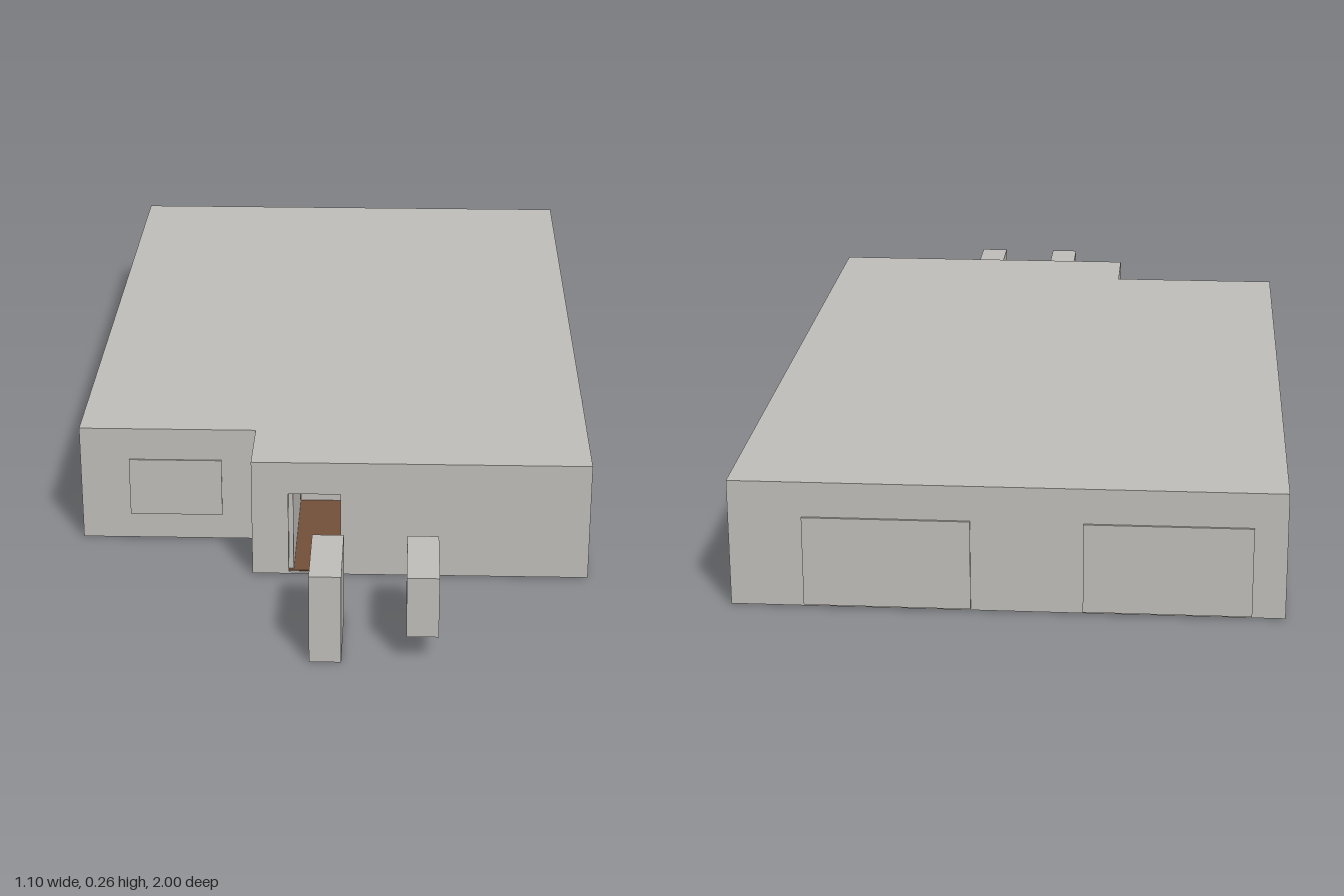
import * as THREE from 'three';

export function createModel() {
  const model = new THREE.Group();
  model.name = 'house';
  const plaster = new THREE.MeshStandardMaterial({ color: 0xc0beba });
  plaster.name = 'plaster grey';
  const wood = new THREE.MeshStandardMaterial({ color: 0x74503a });
  wood.name = 'wood floor';
  const warmWood = new THREE.MeshStandardMaterial({ color: 0x8b4513 });
  warmWood.name = 'warm wood';

  // Box given by its limits on each axis
  function box(name, x0, x1, y0, y1, z0, z1, material = plaster) {
    const mesh = new THREE.Mesh(new THREE.BoxGeometry(x1 - x0, y1 - y0, z1 - z0), material);
    mesh.position.set((x0 + x1) / 2, (y0 + y1) / 2, (z0 + z1) / 2);
    mesh.name = name;
    model.add(mesh);
    return mesh;
  }

  // L-shaped footprint, used for the base and the roof
  const W = 0.545, BACK = -0.995, FRONT = 0.635, NOTCH_X = -0.165, NOTCH_Z = 0.475, TOP = 0.262;
  const outline = [[-W, BACK], [-W, NOTCH_Z], [NOTCH_X, NOTCH_Z], [NOTCH_X, FRONT], [W, FRONT], [W, BACK]];
  function slab(name, y, depth) {
    const shape = new THREE.Shape(outline.map(([x, z]) => new THREE.Vector2(x, -z)));
    const geometry = new THREE.ExtrudeGeometry(shape, { depth, bevelEnabled: false });
    geometry.rotateX(-Math.PI / 2);
    const mesh = new THREE.Mesh(geometry, plaster);
    mesh.position.y = y;
    mesh.name = name;
    model.add(mesh);
  }
  slab('base', 0.002, 0.004);
  slab('roof', TOP - 0.012, 0.012);

  // Outer walls, with the doorway left open in the front
  const T = 0.014, Y0 = 0.006, Y1 = TOP - 0.012;
  const DOOR_L = -0.088, DOOR_R = 0.022, HEAD = 0.19;
  box('leftWall', W - T, W, Y0, Y1, BACK, FRONT);
  box('rightWall', -W, -W + T, Y0, Y1, BACK, NOTCH_Z);
  box('backWall', -W + T, W - T, Y0, Y1, BACK, BACK + T);
  box('recessWall', -W + T, NOTCH_X + T, Y0, Y1, NOTCH_Z - T, NOTCH_Z);
  box('recessSideWall', NOTCH_X, NOTCH_X + T, Y0, Y1, NOTCH_Z, FRONT);
  box('frontWall', NOTCH_X + T, DOOR_L, Y0, Y1, FRONT - T, FRONT);
  box('frontWall', DOOR_R, W - T, Y0, Y1, FRONT - T, FRONT);
  box('doorHead', DOOR_L, DOOR_R, HEAD, Y1, FRONT - T, FRONT);

  // Entrance hall partitions behind the doorway
  box('hallSideWall', -0.092, -0.078, Y0, Y1, 0.3, FRONT - T);
  box('hallEndWall', -0.078, 0.33, Y0, Y1, 0.28, 0.294);
  box('hallFarWall', 0.32, 0.334, Y0, Y1, 0.294, FRONT - T);

  // Wooden floors, showing above and below the base
  const floors = [
    [-0.165, 0.33, 0.27, 0.63],
    [-0.15, 0.06, -0.13, 0.27],
    [-0.23, -0.15, -0.04, 0.06],
    [-0.07, 0.54, -0.99, -0.13],
  ];
  for (const [x0, x1, z0, z1] of floors) box('woodFloor', x0, x1, 0.0005, 0.008, z0, z1, wood);
  box('woodThreshold', 0.03, 0.35, 0, 0.0085, -0.41, -0.34, warmWood);

  // Side windows: thin plates
  const SILL = 0.06, P = 0.003;
  for (const z of [-0.765, -0.005, 0.475]) box('leftWindow', W - P, W + P, SILL, HEAD, z - 0.045, z + 0.045);
  box('rightWindow', -W - P, -W + P, SILL, HEAD, 0.32, 0.41);
  box('recessWindow', -0.44, -0.24, SILL, HEAD, NOTCH_Z - P, NOTCH_Z + P);

  // Wide doors at the back
  for (const x of [0.235, -0.315]) box('backDoor', x - 0.165, x + 0.165, Y0, HEAD, BACK - 0.005, BACK + P);

  // Upright joint on the left wall
  box('wallJoint', W - P, W + 0.001, Y0, TOP - 0.001, 0.284, 0.294);

  // Free-standing blocks in front
  box('tallFrontBlock', -0.03, 0.034, 0, HEAD, 0.82, 1);
  box('raisedFrontBlock', 0.162, 0.226, SILL, HEAD, 0.82, 1);

  return model;
}
